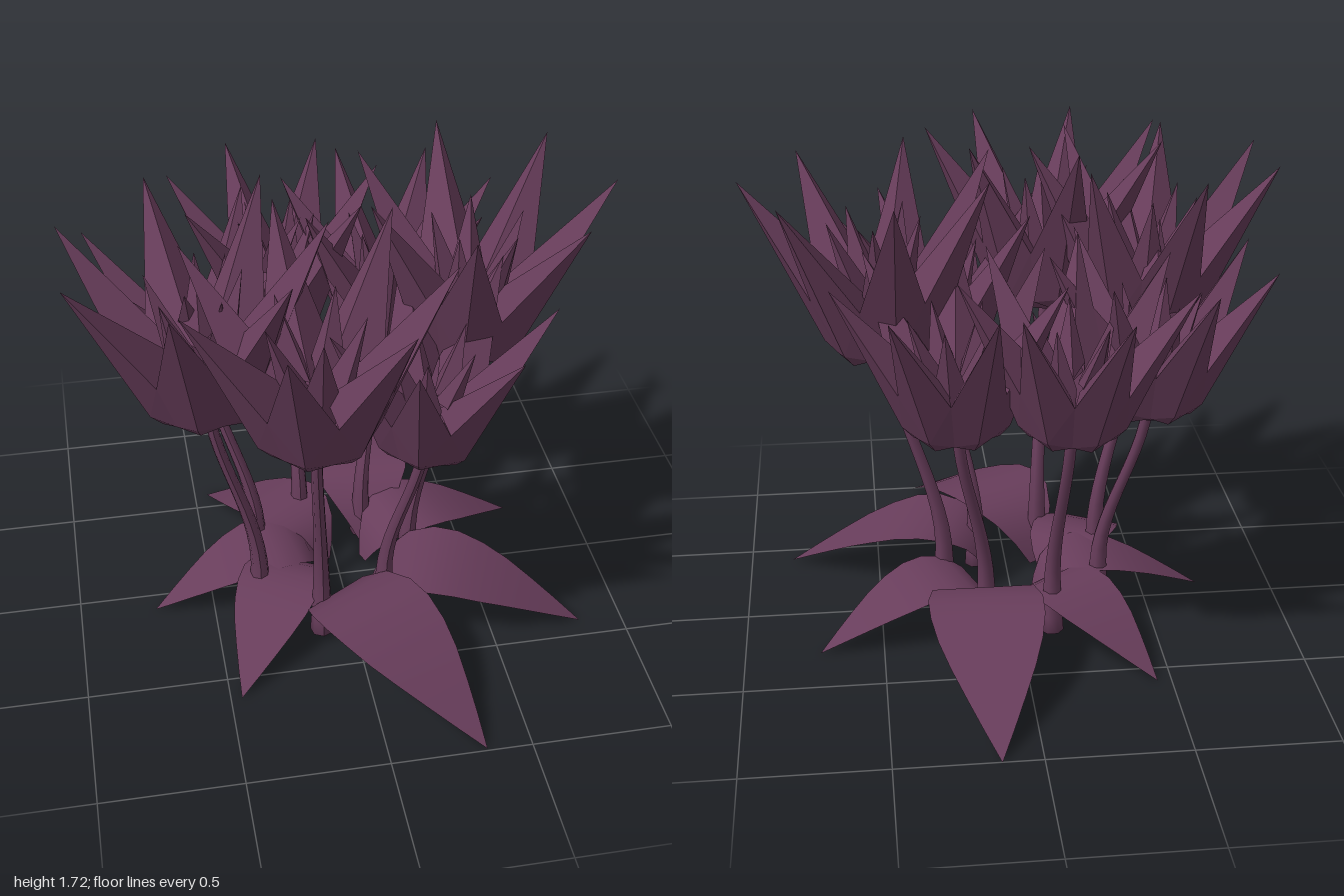
import * as THREE from 'three';

const RAD = Math.PI / 180;

// Solid spike petal opening along +x: outer keel, two side corners, inner ridge and a pointed tip
function petalGeometry(tipR, tipY, keelR, sideR, sideY, half, innerR, innerY) {
  const c = Math.cos(half), s = Math.sin(half);
  const centre = [0.03, 0.015, 0], heel = [keelR * 0.8, 0, 0], keel = [keelR, 0.05, 0];
  const tip = [tipR, tipY, 0], inner = [innerR, innerY, 0];
  const pos = [];
  for (const k of [1, -1]) {
    const foot = [keelR * 0.84 * c, 0.03, keelR * 0.84 * s * k];
    const side = [sideR * c, sideY, sideR * s * k];
    const tris = [
      [centre, heel, foot], [heel, keel, foot], [foot, keel, side], [keel, tip, side], [tip, inner, side],
    ];
    for (const [a, b, d] of tris) pos.push(...a, ...(k > 0 ? b : d), ...(k > 0 ? d : b));
  }
  const g = new THREE.BufferGeometry();
  g.setAttribute('position', new THREE.Float32BufferAttribute(pos, 3));
  g.computeVertexNormals();
  return g;
}

// Arched leaf along +x, its tip at the origin; stations are [distance, height, half width]
function leafGeometry() {
  const stations = [
    [0.14, 0.03, 0.03], [0.17, 0.12, 0.08], [0.22, 0.2, 0.135], [0.3, 0.252, 0.182], [0.4, 0.268, 0.203],
    [0.5, 0.255, 0.2], [0.6, 0.22, 0.18], [0.7, 0.175, 0.145], [0.8, 0.12, 0.1], [0.9, 0.062, 0.052], [1, 0.002, 0.001],
  ];
  const pos = [], index = [];
  stations.forEach(([u, y, w], i) => {
    pos.push(u - 1, y, -w, u - 1, y, w);
    if (i) {
      const a = 2 * i - 2;
      index.push(a, a + 1, a + 2, a + 1, a + 3, a + 2);
    }
  });
  const g = new THREE.BufferGeometry();
  g.setAttribute('position', new THREE.Float32BufferAttribute(pos, 3));
  g.setIndex(index);
  g.computeVertexNormals();
  return g;
}

// Stem with a flared foot that leans outward in an S curve
function stemGeometry(x, z, top) {
  const foot = 0.04, rows = 14, profile = [new THREE.Vector2(0, foot)];
  for (let i = 0; i <= rows; i++) {
    const t = i / rows;
    profile.push(new THREE.Vector2(0.021 + 0.023 * (1 - t) ** 3, foot + (top - foot) * t));
  }
  const g = new THREE.LatheGeometry(profile, 7);
  const p = g.attributes.position;
  const footX = 0.62 * x - 0.02, footZ = 0.62 * z + 0.02;
  for (let i = 0; i < p.count; i++) {
    const t = THREE.MathUtils.smoothstep(p.getY(i), 0.22, top + 0.05);
    p.setX(i, p.getX(i) + footX + (x - footX) * t);
    p.setZ(i, p.getZ(i) + footZ + (z - footZ) * t);
  }
  g.computeVertexNormals();
  return g;
}

export function createModel() {
  const model = new THREE.Group();
  const plum = new THREE.MeshStandardMaterial({ color: 0x683d5b, side: THREE.DoubleSide });
  plum.name = 'plum';
  const plumFacets = plum.clone();
  plumFacets.flatShading = true;

  const add = (parent, name, geometry, material) => {
    const mesh = new THREE.Mesh(geometry, material);
    mesh.name = name;
    parent.add(mesh);
    return mesh;
  };

  const outerPetal = petalGeometry(0.455, 0.65, 0.215, 0.26, 0.24, 180 / 7 * RAD, 0.05, 0.2);
  const innerPetal = petalGeometry(0.17, 0.5, 0.1, 0.12, 0.25, 30 * RAD, 0.02, 0.22);
  const cup = new THREE.CylinderGeometry(0.12, 0.08, 0.05, 10);

  // Flowers: x, z, base height, scale; each tips slightly outward
  const flowers = [
    [0.45, 0.035, 1.05, 1], [0.23, 0.39, 0.89, 0.87], [-0.17, 0.51, 1.05, 1], [-0.5, 0.24, 1.04, 1],
    [-0.46, -0.18, 0.88, 0.87], [-0.15, -0.45, 0.92, 0.87], [0.23, -0.36, 0.9, 0.87],
  ];
  for (const [x, z, y, s] of flowers) {
    const flower = new THREE.Group();
    flower.name = 'flower';
    flower.position.set(x, y, z);
    flower.rotation.set(0, -Math.atan2(z, x), -3.5 * RAD);
    flower.scale.setScalar(s);
    for (let i = 0; i < 7; i++) add(flower, 'outerPetal', outerPetal, plumFacets).rotation.y = i * 360 / 7 * RAD;
    for (let i = 0; i < 5; i++) add(flower, 'innerPetal', innerPetal, plumFacets).rotation.y = (i * 72 + 20) * RAD;
    add(flower, 'flowerCup', cup, plumFacets);
    model.add(flower);
    add(model, 'stem', stemGeometry(x, z, y), plum);
  }

  // Leaves: tip x, tip z, heading in degrees, scale
  const leaf = leafGeometry();
  const leaves = [
    [0.14, -1, -90, 1], [0.84, 0.42, 16, 0.94], [0.34, 0.99, 58, 1], [-0.46, 0.6, 118, 0.77],
    [-0.72, 0.08, 171, 0.77], [-0.45, -0.58, 232, 0.77], [0.73, -0.28, -20, 0.78],
  ];
  for (const [x, z, heading, s] of leaves) {
    const mesh = add(model, 'leaf', leaf, plum);
    mesh.position.set(x, 0, z);
    mesh.rotation.y = -heading * RAD;
    mesh.scale.setScalar(s);
  }
  return model;
}
